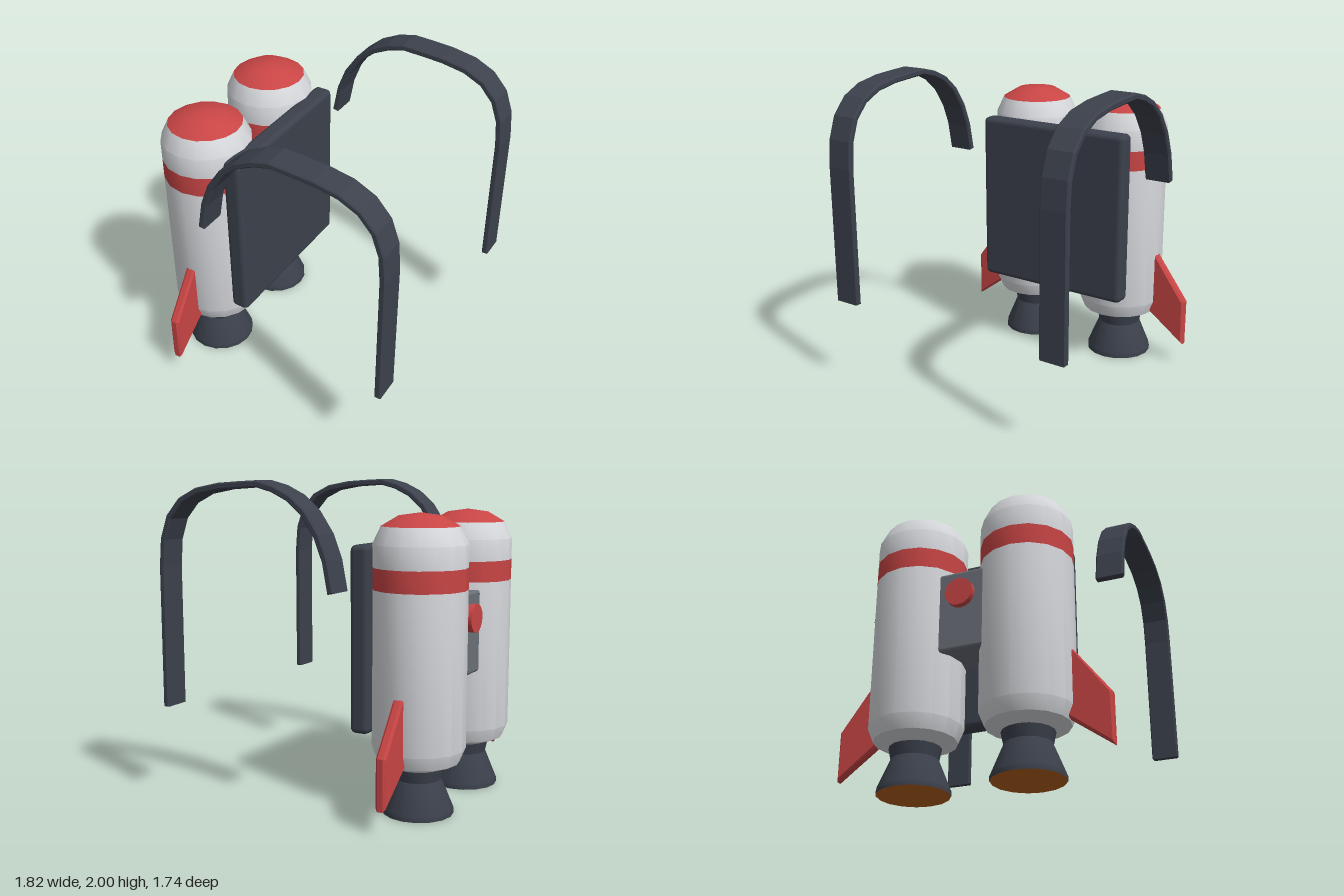
import * as THREE from 'three';
import { toCreasedNormals } from 'three/addons/utils/BufferGeometryUtils.js';
import { RoundedBoxGeometry } from 'three/addons/geometries/RoundedBoxGeometry.js';

const paint = (name, color) => {
  const m = new THREE.MeshStandardMaterial({ color });
  m.name = name;
  return m;
};

export function createModel() {
  const white = paint('white', 0xd9dbdf);
  const red = paint('red', 0xc94545);
  const dark = paint('dark slate', 0x3c414c);
  const grey = paint('grey', 0x6b7079);
  const brown = paint('burnt orange', 0xb8621c);

  const model = new THREE.Group();
  model.name = 'rocketPack';

  const add = (parent, name, geometry, material, x = 0, y = 0, z = 0) => {
    const mesh = new THREE.Mesh(geometry, material);
    mesh.name = name;
    mesh.position.set(x, y, z);
    parent.add(mesh);
    return mesh;
  };
  // Turned part from [radius, height] pairs, bottom to top
  const turned = (points) => toCreasedNormals(
    new THREE.LatheGeometry(points.map(([r, y]) => new THREE.Vector2(r, y)), 16), 0.5);
  // Bevelled plate, centred on its thickness
  const plate = (points, thickness, bevel) => {
    const shape = new THREE.Shape(points.map(([x, y]) => new THREE.Vector2(x, y)));
    const g = new THREE.ExtrudeGeometry(shape, {
      depth: thickness - 2 * bevel, bevelThickness: bevel, bevelSize: bevel,
      bevelOffset: -bevel, bevelSegments: 1,
    });
    return g.translate(0, 0, -thickness / 2 + bevel);
  };

  // Rockets: tank, band, nose, nozzle and outer fin
  const R = 0.285;
  for (const side of [1, -1]) {
    const rocket = new THREE.Group();
    rocket.name = side > 0 ? 'frontRocket' : 'backRocket';
    rocket.position.set(-0.63, 0, side * 0.355);
    if (side < 0) rocket.rotation.y = Math.PI;
    model.add(rocket);

    add(rocket, 'tankBody', turned([[0, 0.285], [0.15, 0.285], [0.25, 0.325], [R, 0.41], [R, 1.365]]), white);
    add(rocket, 'tankBand', turned([[R, 1.365], [R, 1.495]]), red);
    add(rocket, 'tankShoulder', turned([[R, 1.495], [R, 1.63], [0.235, 1.735]]), white);
    add(rocket, 'noseCap', turned([[0.235, 1.735], [0.13, 1.797], [0, 1.815]]), red);
    add(rocket, 'nozzle', turned([[0.218, 0], [0.218, 0.03], [0.142, 0.215], [0.16, 0.3]]), dark);
    add(rocket, 'nozzleGlow', new THREE.CircleGeometry(0.217, 16).rotateX(Math.PI / 2), brown, 0, 0.003, 0);

    const fin = plate([[0.23, 0.82], [0.23, 0.347], [0.505, 0.145], [0.505, 0.455]], 0.065, 0.015);
    add(rocket, 'fin', fin.rotateY(-Math.PI / 2), red);
  }

  // Back pad, bridge between the tanks and its button
  add(model, 'backPad', new RoundedBoxGeometry(0.125, 1.14, 1.1, 2, 0.035), dark, -0.318, 1.055, 0);
  add(model, 'bridge', new RoundedBoxGeometry(0.31, 0.52, 0.31, 2, 0.02), grey, -0.655, 1.06, 0);
  add(model, 'button', new THREE.CylinderGeometry(0.09, 0.09, 0.06, 16).rotateZ(Math.PI / 2), red, -0.82, 1.16, 0);

  // Shoulder straps: a ribbon offset to both sides of a centre line
  const path = [
    [-0.315, 1.368], [-0.28, 1.55], [-0.225, 1.69], [-0.14, 1.815], [-0.04, 1.9], [0.07, 1.952],
    [0.18, 1.98], [0.3, 1.974], [0.45, 1.964], [0.61, 1.935], [0.735, 1.875], [0.825, 1.775],
    [0.873, 1.64], [0.887, 1.47], [0.888, 0.585],
  ].map(([x, y]) => new THREE.Vector2(x, y));
  const offset = (d) => path.map((p, i) => {
    const a = path[Math.max(i - 1, 0)];
    const b = path[Math.min(i + 1, path.length - 1)];
    const t = b.clone().sub(a).normalize();
    return [p.x - t.y * d, p.y + t.x * d];
  });
  const ribbon = [...offset(-0.02), ...offset(0.02).reverse()];
  for (const side of [1, -1]) {
    add(model, side > 0 ? 'frontStrap' : 'backStrap', plate(ribbon, 0.178, 0.008), dark, 0, 0, side * 0.782);
  }
  return model;
}
